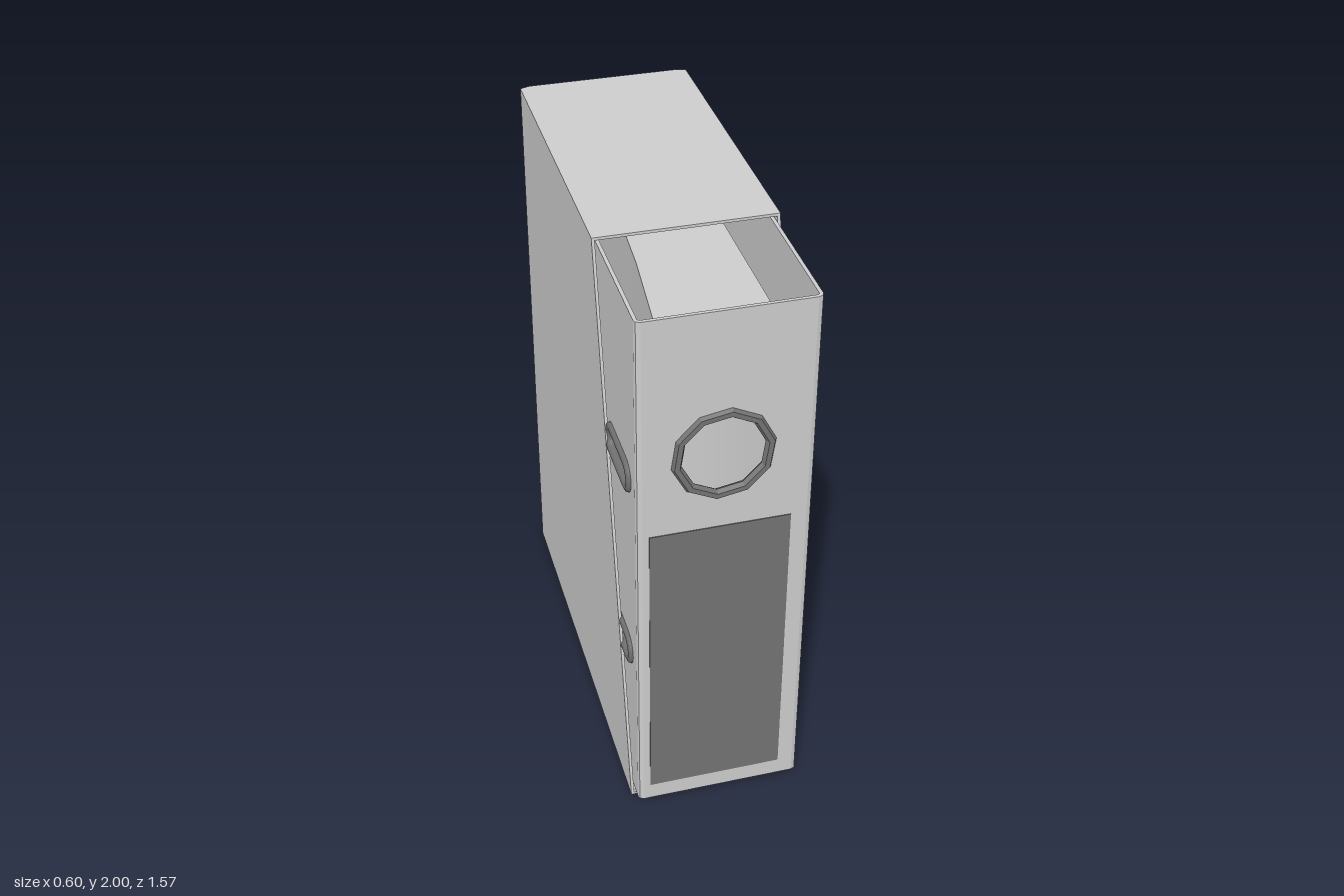
import * as THREE from 'three';
import { toCreasedNormals } from 'three/addons/utils/BufferGeometryUtils.js';

const CREASE = Math.PI / 6;

export function createModel() {
  const model = new THREE.Group();
  model.name = 'slipcaseFile';

  const mat = (name, color) => {
    const m = new THREE.MeshStandardMaterial({ color });
    m.name = name;
    return m;
  };
  const card = mat('lightGreyCard', 0xcccccc);
  const dark = mat('darkGrey', 0x727272);

  const add = (parent, name, geometry, material) => {
    const mesh = new THREE.Mesh(geometry, material);
    mesh.name = name;
    parent.add(mesh);
    return mesh;
  };
  const group = (name) => {
    const g = new THREE.Group();
    g.name = name;
    model.add(g);
    return g;
  };
  const polygon = (pts) => new THREE.Shape(pts.map(([a, b]) => new THREE.Vector2(a, b)));
  const extrude = (shape, depth) =>
    new THREE.ExtrudeGeometry(shape, { depth, bevelEnabled: false, curveSegments: 6 });

  // Outline in (z, y), thickened along x from x0
  const sidePanel = (shape, x0, thick) =>
    extrude(shape, thick).rotateY(-Math.PI / 2).translate(x0 + thick, 0, 0);
  // Outline in (x, z), raised along y from y0 to y1
  const planPanel = (pts, y0, y1) =>
    toCreasedNormals(
      extrude(polygon(pts.map(([x, z]) => [x, -z])), y1 - y0).rotateX(-Math.PI / 2).translate(0, y0, 0),
      CREASE);

  // Outer sleeve: slanted opening at the front, chamfered back
  const sleeve = group('sleeve');
  const W = 0.3, T = 0.01, backZ = -0.775, topZ = 0.305, floorZ = 0.718;
  const slant = [[backZ, 0], [floorZ, 0], [topZ, 2], [backZ, 2]];
  add(sleeve, 'sleeveRightSide', sidePanel(polygon(slant), -W, T), card);
  add(sleeve, 'sleeveLeftSide', sidePanel(polygon(slant), W - T, T), card);
  const inner = W - T;
  add(sleeve, 'sleeveTop', planPanel([[-inner, backZ], [inner, backZ], [inner, topZ], [-inner, topZ]], 2 - T, 2), card);
  add(sleeve, 'sleeveFloor', planPanel([[-inner, backZ], [inner, backZ], [inner, floorZ], [-inner, floorZ]], 0, T), card);
  add(sleeve, 'sleeveBack', planPanel([[-W, backZ], [-0.265, -0.787], [0.265, -0.787], [W, backZ]], 0, 2), card);

  // Binder: two covers joined by a spine with a finger hole
  const binder = group('binder');
  const B = 0.285, t = 0.012, y0 = 0.025, y1 = 1.98, front = 0.77, coverZ = 0.753;
  const cover = () => polygon([[-0.74, y0], [coverZ, y0], [coverZ, y1], [-0.74, y1]]);
  add(binder, 'leftCover', sidePanel(cover(), B - t, t), card);

  // Long rounded slots through the right cover, each with a raised rim
  const slotted = cover();
  const slotRadius = 0.045, slotHalf = 0.089, slotZ = 0.56;
  [1.36, 0.643].forEach((y, i) => {
    const pill = new THREE.Path();
    pill.absarc(slotZ + slotHalf, y, slotRadius, -Math.PI / 2, Math.PI / 2, false);
    pill.absarc(slotZ - slotHalf, y, slotRadius, Math.PI / 2, Math.PI * 1.5, false);
    slotted.holes.push(pill);
    const pts = pill.getPoints(6).map((p) => new THREE.Vector3(-0.282, p.y, p.x));
    if (pts[0].distanceTo(pts[pts.length - 1]) > 0.001) pts.push(pts[0].clone());
    const path = new THREE.CurvePath();
    for (let k = 0; k + 1 < pts.length; k++) {
      if (pts[k].distanceTo(pts[k + 1]) > 0.001) path.add(new THREE.LineCurve3(pts[k], pts[k + 1]));
    }
    add(binder, i ? 'lowerSlotRim' : 'upperSlotRim', new THREE.TubeGeometry(path, 48, 0.017, 8, true), dark);
  });
  add(binder, 'rightCover', sidePanel(slotted, -B, t), card);

  // Spine with finger hole and its faceted ring
  const holeX = -0.01, holeY = 1.468, spineHalf = 0.267;
  const spine = polygon([[-spineHalf, y0], [spineHalf, y0], [spineHalf, y1], [-spineHalf, y1]]);
  spine.holes.push(new THREE.Path().absarc(holeX, holeY, 0.145, 0, Math.PI * 2, true));
  add(binder, 'spine', extrude(spine, t).translate(0, 0, front - t), card);
  for (const s of [-1, 1]) {
    const pts = [[s * B, coverZ], [s * 0.281, 0.764], [s * spineHalf, front], [s * spineHalf, front - t], [s * (B - t), coverZ]];
    add(binder, s < 0 ? 'rightSpineEdge' : 'leftSpineEdge', planPanel(pts, y0, y1), card);
  }
  const ring = new THREE.TorusGeometry(0.152, 0.0175, 6, 10).rotateZ(THREE.MathUtils.degToRad(10));
  add(binder, 'fingerRing', toCreasedNormals(ring, CREASE), dark).position.set(holeX, holeY, 0.768);

  // Label plate on the spine
  add(binder, 'label', new THREE.BoxGeometry(0.46, 1.1, 0.004), dark).position.set(-0.015, 0.64, 0.771);

  // Stack of sheets with a bowed front edge
  add(model, 'paperStack', planPanel(
    [[-0.1, -0.7], [0.17, -0.7], [0.17, 0.64], [0.06, 0.667], [-0.06, 0.669], [-0.195, 0.645], [-0.16, 0.3]],
    0.03, 1.89), card);

  return model;
}
